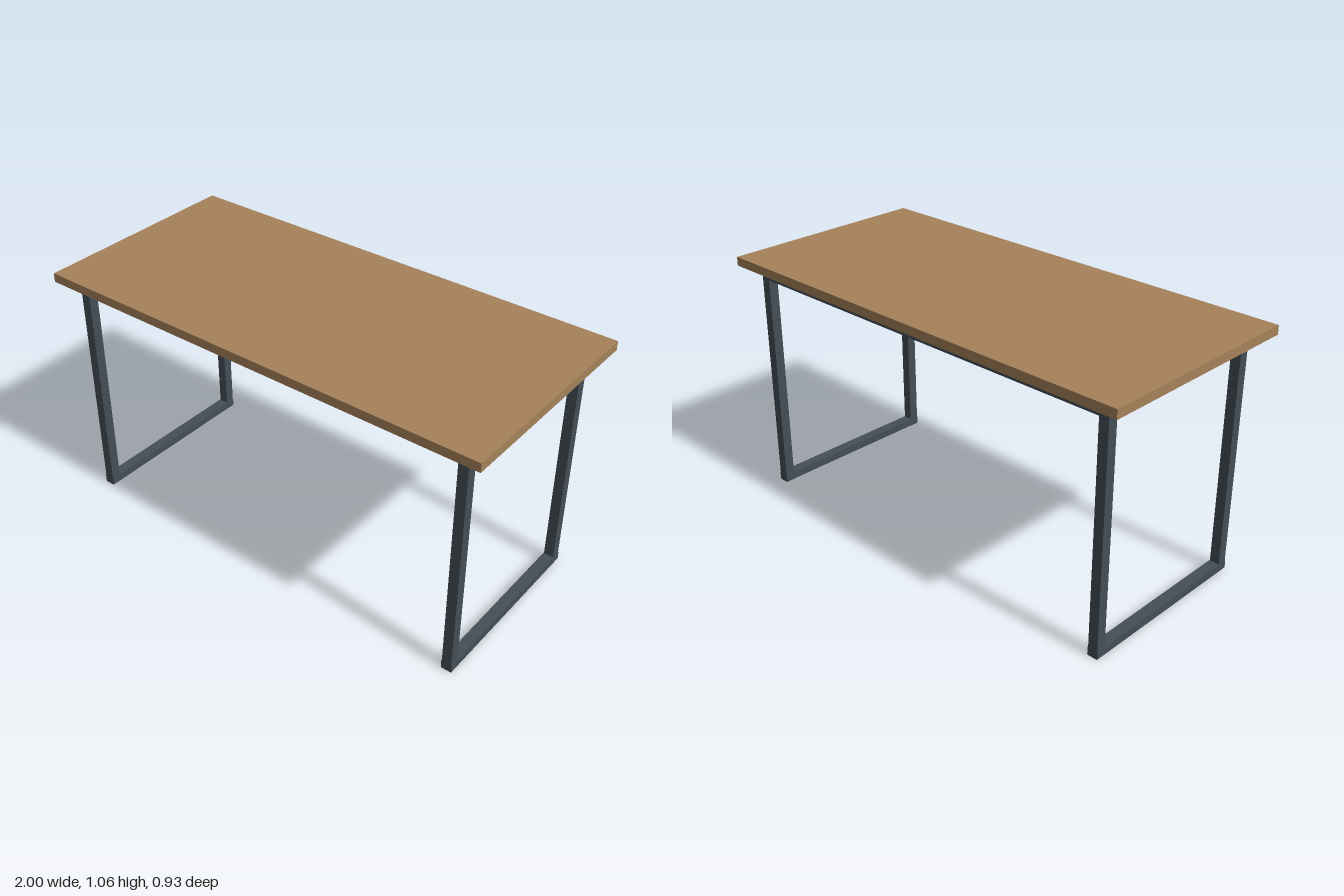
import * as THREE from 'three';

export function createModel() {
  const table = new THREE.Group();
  table.name = 'table';
  const wood = new THREE.MeshStandardMaterial({ color: 0xa5825a });
  const steel = new THREE.MeshStandardMaterial({ color: 0x454e56 });

  // Box given by its size, bottom height and centre
  function bar(name, material, [w, h, d], x, bottom, z, parent = table) {
    const mesh = new THREE.Mesh(new THREE.BoxGeometry(w, h, d), material);
    mesh.name = name;
    mesh.position.set(x, bottom + h / 2, z);
    parent.add(mesh);
  }

  const topBottom = 1.018;
  const legX = 0.9;
  const legZ = 0.379;
  const tube = 0.042;

  // Wooden slab
  bar('tabletop', wood, [2, 0.038, 0.928], 0, topBottom, 0);

  // Rectangular leg frame at each end
  for (const side of [1, -1]) {
    const frame = new THREE.Group();
    frame.name = side > 0 ? 'leftLegFrame' : 'rightLegFrame';
    frame.position.x = side * legX;
    table.add(frame);
    for (const end of [1, -1]) {
      bar(end > 0 ? 'frontLeg' : 'backLeg', steel, [tube, topBottom, tube], 0, 0, end * legZ, frame);
    }
    const depth = 2 * legZ + tube;
    bar('floorRail', steel, [0.047, 0.033, depth], 0, 0.003, 0, frame);
    bar('topRail', steel, [0.047, topBottom - 1, depth], 0, 1, 0, frame);
  }

  // Long rails joining the frames just below the slab
  for (const end of [1, -1]) {
    bar(end > 0 ? 'frontRail' : 'backRail', steel, [2 * legX - tube, 0.04, 0.04], 0, 0.966, end * legZ);
  }
  return table;
}
